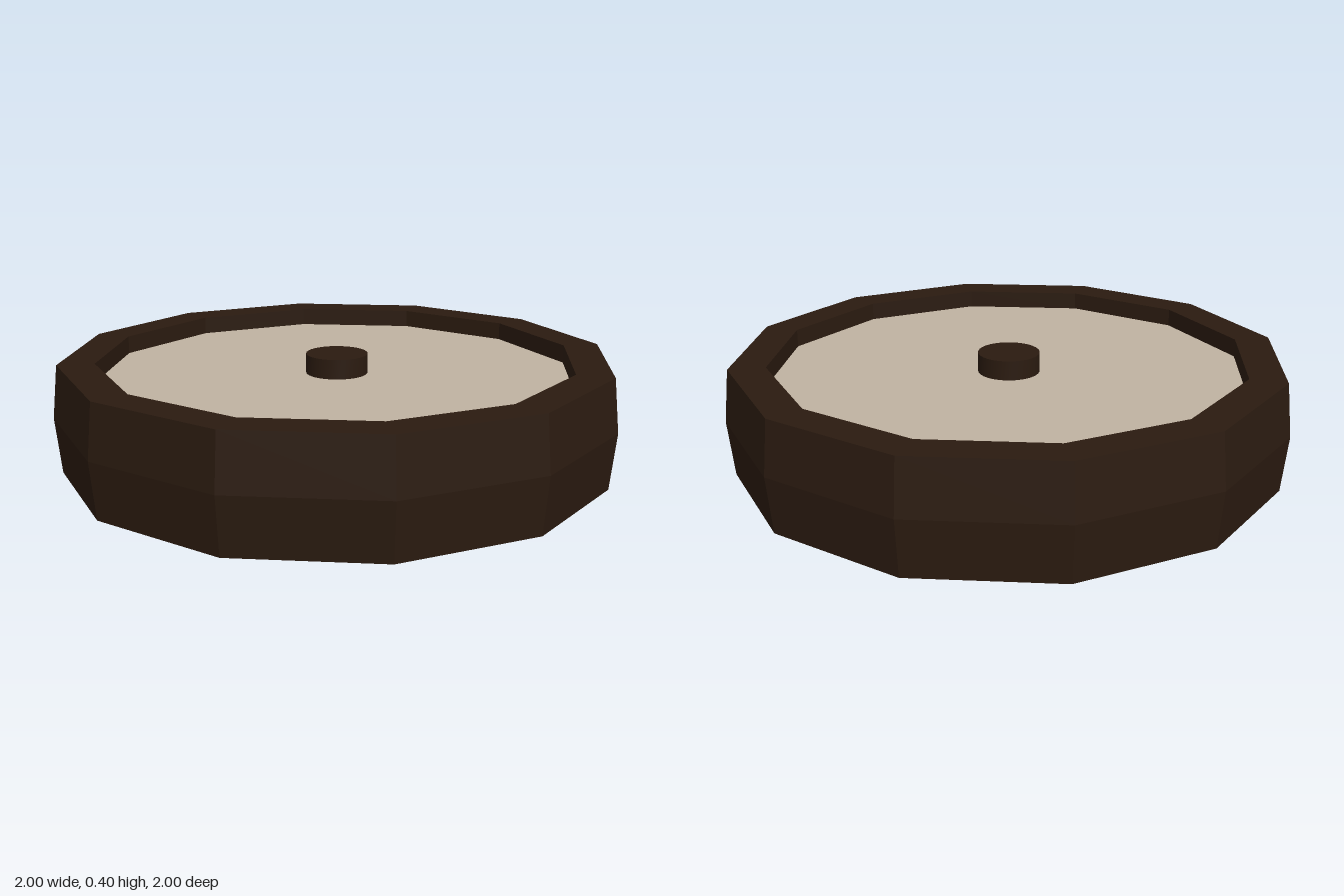
import * as THREE from 'three';
import { toCreasedNormals } from 'three/addons/utils/BufferGeometryUtils.js';

const SIDES = 12, INNER = 0.85, FLOOR = 0.325, TOP = 0.39;

export function createModel() {
  const group = new THREE.Group();
  const wood = new THREE.MeshStandardMaterial({ color: 0x2b1b10, flatShading: true });
  const knobWood = new THREE.MeshStandardMaterial({ color: 0x2b1b10 });
  const face = new THREE.MeshStandardMaterial({ color: 0xbfb2a1, flatShading: true });

  const add = (name, geometry, material, y = 0) => {
    const mesh = new THREE.Mesh(geometry, material);
    mesh.name = name;
    mesh.position.y = y;
    group.add(mesh);
  };

  // Twelve-sided body: closed base, slightly bulged side, flat rim, recessed wall
  const profile = [[0, 0], [0.98, 0], [1, 0.2], [0.98, TOP], [INNER, TOP], [INNER, FLOOR]]
    .map(([r, y]) => new THREE.Vector2(r, y));
  add('body', new THREE.LatheGeometry(profile, SIDES), wood);

  // Pale plate filling the recess
  const plate = new THREE.CircleGeometry(INNER, SIDES).rotateX(-Math.PI / 2);
  add('facePlate', plate, face, FLOOR);

  // Round centre knob, rising just past the rim
  const height = 0.07;
  const knob = toCreasedNormals(new THREE.CylinderGeometry(0.11, 0.11, height, 32), 0.6);
  add('centreKnob', knob, knobWood, FLOOR + height / 2);

  return group;
}
